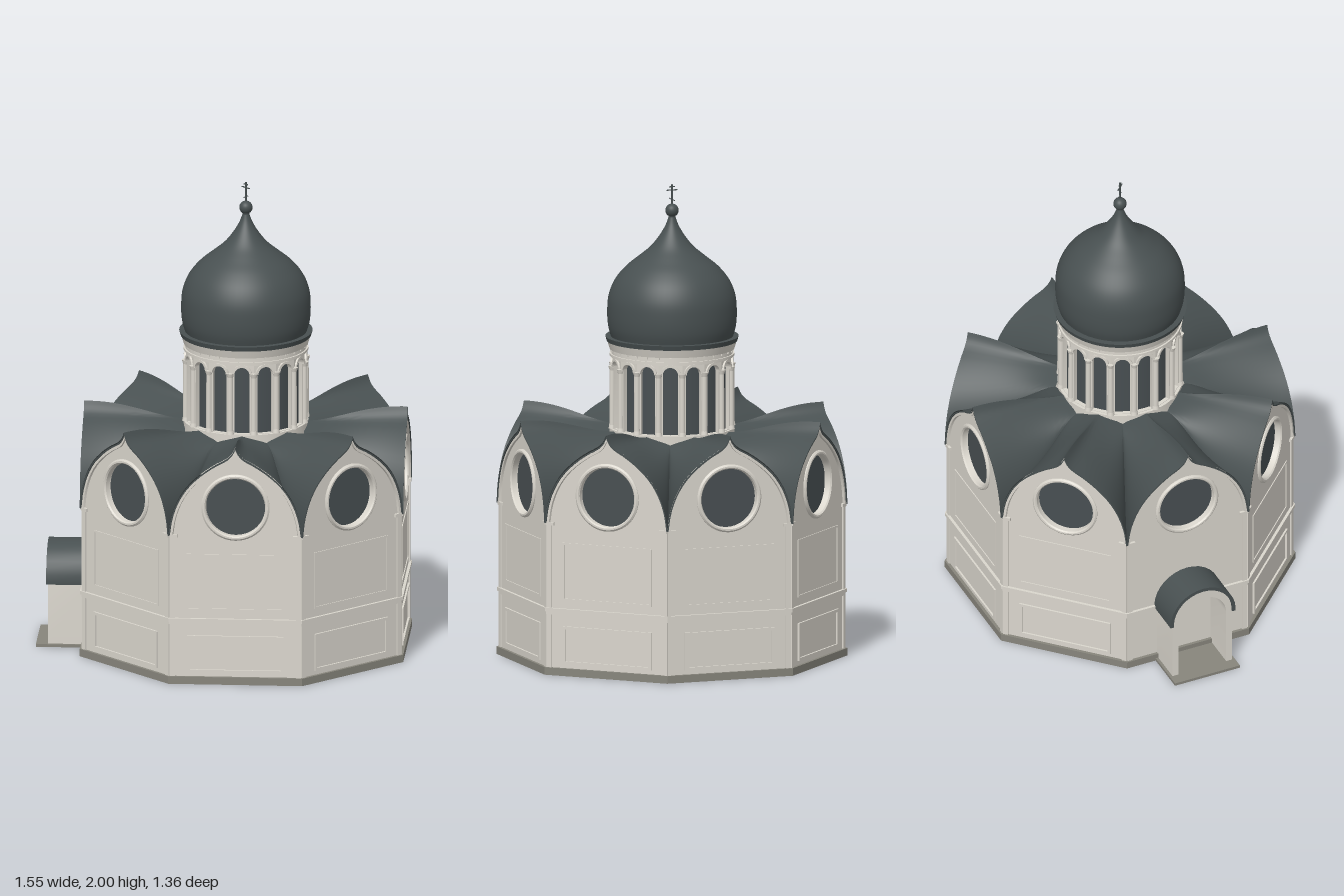
import * as THREE from 'three';
import { toCreasedNormals } from 'three/addons/utils/BufferGeometryUtils.js';

const mat = (name, color) => {
  const m = new THREE.MeshStandardMaterial({ color });
  m.name = name;
  return m;
};
const TAN8 = Math.tan(Math.PI / 8);
const WALL = 0.667; // octagon apothem of the walls
const ROOF = 0.68;  // octagon apothem of plinth and eaves

// Half of the pointed gable outline for the roof apothem, peak to eave
const gableHalf = [[0, 1.03], [0.014, 1.003], [0.035, 0.982], [0.09, 0.951], [0.15, 0.908], [0.204, 0.855],
  [0.244, 0.792], [0.27, 0.72], [0.2817, 0.645]];

function gableCurve(scale, drop = 0) {
  const curve = new THREE.CatmullRomCurve3(gableHalf.map(([x, y]) => new THREE.Vector3(x, y, 0)));
  const half = curve.getPoints(20).map(p => [p.x * scale, 0.645 + (p.y - 0.645) * (1 - drop)]);
  return [...half.slice(1).reverse().map(([x, y]) => [-x, y]), ...half];
}

const polygon = pts => new THREE.Shape(pts.map(([x, y]) => new THREE.Vector2(x, y)));

const rect = (w, y0, y1) => polygon([[-w, y0], [w, y0], [w, y1], [-w, y1]]);

function archPoints(r, y0, spring) {
  const pts = [[-r, y0], [r, y0]];
  for (let i = 0; i <= 16; i++) {
    const a = Math.PI * i / 16;
    pts.push([r * Math.cos(a), spring + r * Math.sin(a)]);
  }
  return pts;
}

function extrude(shape, depth, z) {
  const g = new THREE.ExtrudeGeometry(shape, { depth, bevelEnabled: false, curveSegments: 32 });
  return g.translate(0, 0, z - depth);
}

// Extruded facade piece whose ends are mitred towards the octagon centre
function mitred(shape, apothem, depth) {
  const g = extrude(shape, depth, apothem);
  const p = g.attributes.position;
  for (let i = 0; i < p.count; i++) p.setX(i, p.getX(i) * p.getZ(i) / apothem);
  return toCreasedNormals(g, 0.5);
}

function frameShape(w, y0, y1, t) {
  const s = rect(w, y0, y1);
  s.holes.push(rect(w - t, y0 + t, y1 - t));
  return s;
}

// One roof segment, swept from the gable to the drum
function roofSegment() {
  const outline = gableCurve(1), rows = 16, n = outline.length, pos = [], idx = [];
  for (let j = 0; j <= rows; j++) {
    const t = j / rows, r = ROOF + (0.25 - ROOF) * t;
    const u = Math.pow(t, 1.25), e = u * u * (3 - 2 * u);
    for (const [x, y] of outline) {
      const s = x / 0.2817, inner = 0.96 - 0.03 * Math.abs(s);
      pos.push(s * r * TAN8, y + 0.005 + (inner - y) * e, r);
    }
  }
  for (let j = 0; j < rows; j++) for (let i = 0; i < n - 1; i++) {
    const a = j * n + i, b = a + n;
    idx.push(a, a + 1, b, a + 1, b + 1, b);
  }
  const g = new THREE.BufferGeometry();
  g.setAttribute('position', new THREE.Float32BufferAttribute(pos, 3));
  g.setIndex(idx);
  return toCreasedNormals(g, 0.5);
}

export function createModel() {
  const stone = mat('pale stone', 0xdad6cd);
  const plinthMat = mat('plinth stone', 0x87857c);
  const slate = mat('dark roof', 0x485051);
  slate.side = THREE.DoubleSide;
  const glass = mat('dark glass', 0x484f52);

  const model = new THREE.Group();
  const church = new THREE.Group();
  church.name = 'church';
  church.position.x = 0.093;
  model.add(church);

  const add = (parent, name, geo, material, x = 0, y = 0, z = 0) => {
    const m = new THREE.Mesh(geo, material);
    m.name = name;
    m.position.set(x, y, z);
    parent.add(m);
    return m;
  };

  // Facade with a round window
  const k = WALL / ROOF, w = WALL * TAN8;
  const wallShape = polygon([[-w, 0.03], [w, 0.03], ...gableCurve(k).reverse()]);
  wallShape.holes.push(new THREE.Path().absarc(0, 0.77, 0.128, 0, Math.PI * 2, true));
  const wallGeo = mitred(wallShape, WALL, 0.05);
  const plinthGeo = mitred(rect(ROOF * TAN8, 0, 0.032), ROOF, 0.07);
  const corniceGeo = mitred(rect(0.679 * TAN8, 0.27, 0.285), 0.679, 0.03);
  const corniceLowGeo = mitred(rect(0.673 * TAN8, 0.258, 0.27), 0.673, 0.03);
  const roofGeo = roofSegment();

  // Gable trims: dark roof edge and stone moulding inside it
  const strip = (s0, d0, s1, d1) => polygon([...gableCurve(s0, d0), ...gableCurve(s1, d1).reverse()]);
  const edgeGeo = mitred(strip(1, 0, 0.982, 0.018), ROOF, 0.014);
  const mouldGeo = mitred(strip(0.982, 0.018, 0.94, 0.055), 0.676, 0.012);

  const lowFrame = extrude(frameShape(0.203, 0.05, 0.21, 0.012), 0.009, WALL + 0.008);
  const highFrame = extrude(frameShape(0.205, 0.32, 0.565, 0.008), 0.005, WALL + 0.004);
  const ringProfile = [[0.144, -0.01], [0.144, 0.004], [0.137, 0.01], [0.13, 0.01], [0.125, 0.004], [0.125, -0.03]];
  const ringGeo = toCreasedNormals(new THREE.LatheGeometry(
    ringProfile.map(([x, y]) => new THREE.Vector2(x, y)), 48).rotateX(Math.PI / 2), 0.6);
  const paneGeo = new THREE.CylinderGeometry(0.129, 0.129, 0.008, 48).rotateX(Math.PI / 2);

  for (let i = 0; i < 8; i++) {
    const side = new THREE.Group();
    side.name = 'facade' + (i + 1);
    side.rotation.y = i * Math.PI / 4;
    church.add(side);
    add(side, 'wall', wallGeo, stone);
    add(side, 'plinth', plinthGeo, plinthMat);
    add(side, 'cornice', corniceGeo, stone);
    add(side, 'corniceLower', corniceLowGeo, stone);
    add(side, 'roofSegment', roofGeo, slate);
    add(side, 'roofEdge', edgeGeo, slate);
    add(side, 'gableMoulding', mouldGeo, stone);
    add(side, 'windowRing', ringGeo, stone, 0, 0.77, WALL);
    add(side, 'windowPane', paneGeo, glass, 0, 0.77, WALL - 0.025);
    for (const s of [-1, 1]) {
      add(side, 'cornerPilaster', new THREE.BoxGeometry(0.022, 0.61, 0.008), stone, s * (w - 0.011), 0.335, WALL + 0.002);
      add(side, 'pilasterCapital', new THREE.BoxGeometry(0.034, 0.014, 0.016), stone, s * (w - 0.017), 0.643, WALL + 0.003);
    }
    if (i !== 6) {
      add(side, 'lowerPanelFrame', lowFrame, stone);
      add(side, 'upperPanelFrame', highFrame, stone);
    }
  }

  // Arched porch on the right side
  const porch = new THREE.Group();
  porch.name = 'porch';
  porch.rotation.y = -Math.PI / 2;
  church.add(porch);
  const porchShape = polygon(archPoints(0.138, 0.01, 0.28));
  porchShape.holes.push(polygon(archPoints(0.11, 0.012, 0.27)));
  add(porch, 'porchWalls', toCreasedNormals(extrude(porchShape, 0.16, 0.822), 0.5), stone);
  const arc = r => archPoints(r, 0, 0.283).slice(2);
  const vault = polygon([[0.15, 0.272], ...arc(0.15), [-0.15, 0.272], [-0.135, 0.272],
    ...arc(0.135).reverse(), [0.135, 0.272]]);
  add(porch, 'porchRoof', toCreasedNormals(extrude(vault, 0.17, 0.83), 0.5), slate);
  add(porch, 'porchStep', new THREE.BoxGeometry(0.3, 0.012, 0.21), plinthMat, 0, 0.006, 0.768);
  add(porch, 'innerDoor', extrude(polygon(archPoints(0.1, 0.03, 0.27)), 0.006, WALL - 0.047), glass);

  // Drum with an arcade of sixteen windows
  const drum = new THREE.Group();
  drum.name = 'drum';
  church.add(drum);
  const cyl = (name, r, y0, y1, m, r2 = r) =>
    add(drum, name, new THREE.CylinderGeometry(r2, r, y1 - y0, 64), m, 0, (y0 + y1) / 2, 0);
  cyl('drumGlass', 0.232, 0.92, 1.3, glass);
  cyl('drumBase', 0.262, 0.92, 0.97, stone);
  cyl('drumFrieze', 0.255, 1.27, 1.34, stone);
  cyl('friezeMouldingLow', 0.262, 1.276, 1.286, stone);
  cyl('friezeMouldingHigh', 0.262, 1.305, 1.338, stone, 0.272);
  cyl('domeEave', 0.274, 1.338, 1.358, slate, 0.28);
  const bay = rect(0.249 * Math.tan(Math.PI / 16), 0.96, 1.28);
  bay.holes.push(polygon(archPoints(0.032, 0.972, 1.23)));
  const bayGeo = toCreasedNormals(extrude(bay, 0.018, 0.249), 0.5);
  const hood = polygon([...archPoints(0.043, 0, 1.23).slice(2), ...archPoints(0.032, 0, 1.23).slice(2).reverse()]);
  const hoodGeo = extrude(hood, 0.012, 0.257);
  const shaftGeo = new THREE.CylinderGeometry(0.0115, 0.0125, 0.25, 12);
  const capGeo = new THREE.CylinderGeometry(0.017, 0.012, 0.018, 12);
  const baseGeo = new THREE.CylinderGeometry(0.013, 0.016, 0.016, 12);
  for (let i = 0; i < 16; i++) {
    const a = i * Math.PI / 8, b = a + Math.PI / 16;
    add(drum, 'arcadeBay', bayGeo, stone).rotation.y = a;
    add(drum, 'archHood', hoodGeo, stone).rotation.y = a;
    const x = 0.254 * Math.sin(b), z = 0.254 * Math.cos(b);
    add(drum, 'columnShaft', shaftGeo, stone, x, 1.095, z);
    add(drum, 'columnCapital', capGeo, stone, x, 1.227, z);
    add(drum, 'columnBase', baseGeo, stone, x, 0.978, z);
  }
  // Small dentils under the eave
  const dentilGeo = new THREE.BoxGeometry(0.008, 0.008, 0.008);
  for (let i = 0; i < 32; i++) {
    const a = i * Math.PI / 16;
    add(drum, 'dentil', dentilGeo, stone, 0.256 * Math.sin(a), 1.3, 0.256 * Math.cos(a)).rotation.y = a;
  }

  // Onion dome
  const domeKeys = [[0.256, 1.355], [0.268, 1.4], [0.272, 1.46], [0.266, 1.53], [0.24, 1.595], [0.195, 1.65],
    [0.14, 1.695], [0.09, 1.737], [0.052, 1.785], [0.026, 1.83], [0.012, 1.87]];
  const domePts = new THREE.SplineCurve(domeKeys.map(([x, y]) => new THREE.Vector2(x, y))).getPoints(48);
  add(church, 'onionDome', new THREE.LatheGeometry(domePts, 64), slate);
  add(church, 'finialCollar', new THREE.CylinderGeometry(0.015, 0.015, 0.012, 16), slate, 0, 1.862, 0);
  add(church, 'finialBall', new THREE.SphereGeometry(0.028, 24, 16), slate, 0, 1.89, 0);

  // Three-barred cross, turned diagonally
  const cross = new THREE.Group();
  cross.name = 'cross';
  cross.position.y = 1.91;
  cross.rotation.y = -Math.PI / 4;
  church.add(cross);
  add(cross, 'crossPost', new THREE.BoxGeometry(0.005, 0.09, 0.005), slate, 0, 0.045, 0);
  add(cross, 'crossTopBar', new THREE.BoxGeometry(0.024, 0.004, 0.004), slate, 0, 0.08, 0);
  add(cross, 'crossMainBar', new THREE.BoxGeometry(0.05, 0.004, 0.004), slate, 0, 0.066, 0);
  add(cross, 'crossFootBar', new THREE.BoxGeometry(0.028, 0.004, 0.004), slate, 0, 0.026, 0).rotation.z = 0.45;
  return model;
}
